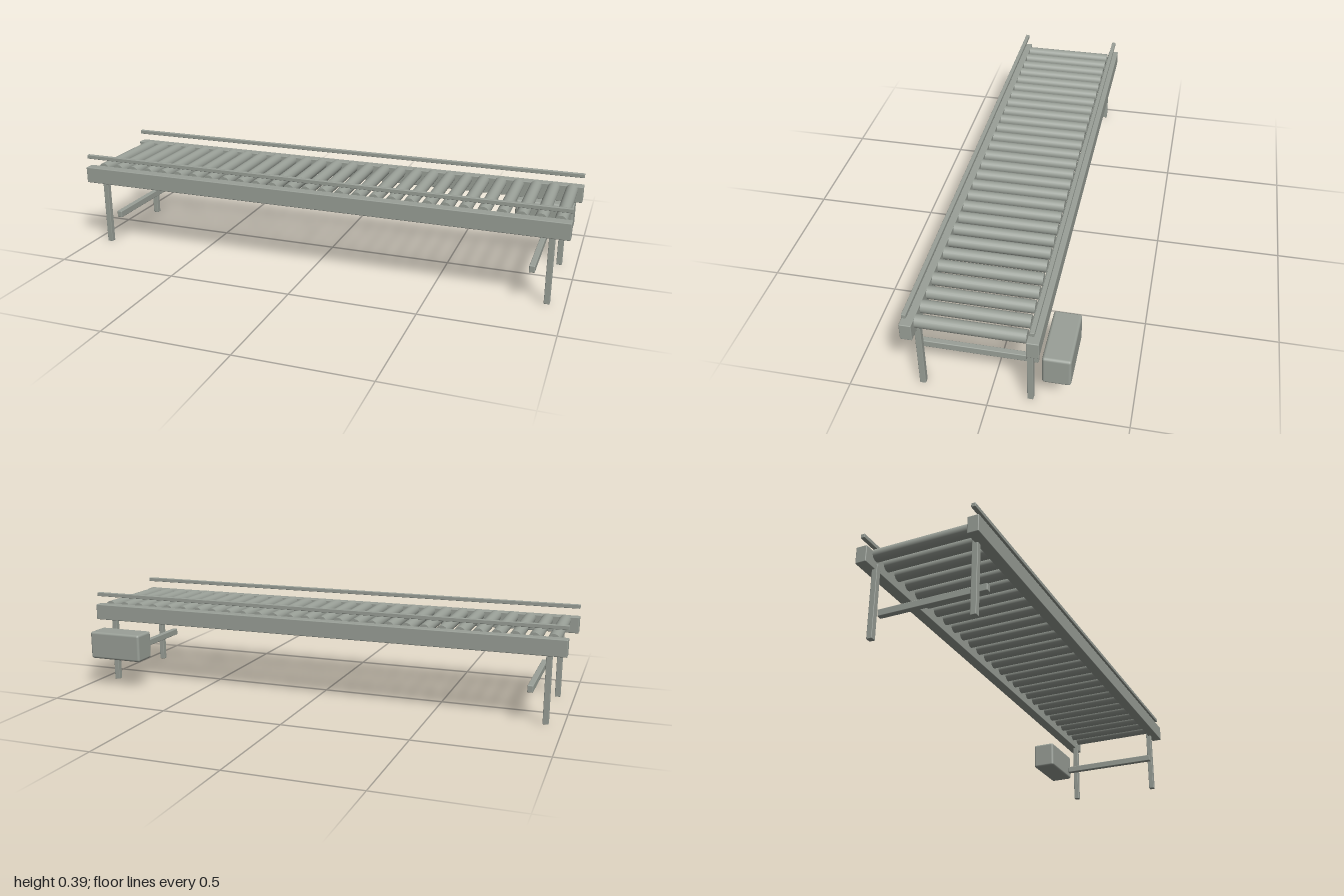
import * as THREE from 'three';
import { RoundedBoxGeometry } from 'three/addons/geometries/RoundedBoxGeometry.js';

export function createModel() {
  const model = new THREE.Group();
  model.name = 'rollerConveyor';
  const steel = new THREE.MeshStandardMaterial({ color: 0x9aa098 });
  steel.name = 'grey steel';

  const midZ = 0.052; // centre line of the conveyor bed

  // softly bevelled box given by its size and centre
  function box(name, size, centre, bevel = 0.003) {
    const mesh = new THREE.Mesh(new RoundedBoxGeometry(...size, 2, bevel), steel);
    mesh.name = name;
    mesh.position.set(...centre);
    model.add(mesh);
  }

  // side rails, guide rails and legs, mirrored about the bed's centre line
  for (const [side, s] of [['front', 1], ['back', -1]]) {
    box(side + 'SideRail', [2, 0.066, 0.043], [0, 0.304, midZ + s * 0.2155]);
    box(side + 'GuideRail', [2, 0.016, 0.016], [0, 0.379, midZ + s * 0.215], 0.002);
    for (const [end, e] of [['Left', 1], ['Right', -1]]) {
      box(side + end + 'Leg', [0.022, 0.29, 0.022], [e * 0.933, 0.145, midZ + s * 0.195], 0.002);
    }
  }

  // cross braces between the legs
  for (const [end, e] of [['left', 1], ['right', -1]]) {
    box(end + 'CrossBrace', [0.022, 0.028, 0.425], [e * 0.871, 0.134, midZ]);
  }

  // rollers
  const rollers = new THREE.Group();
  rollers.name = 'rollers';
  const rollerGeometry = new THREE.CylinderGeometry(0.0235, 0.0235, 0.382, 24).rotateX(Math.PI / 2);
  const count = 28;
  for (let i = 0; i < count; i++) {
    const roller = new THREE.Mesh(rollerGeometry, steel);
    roller.name = 'roller' + (i + 1);
    roller.position.set(-0.944 + (i * 1.9) / (count - 1), 0.323, midZ);
    rollers.add(roller);
  }
  model.add(rollers);

  // drive motor housing behind the left end
  box('motorHousing', [0.235, 0.116, 0.101], [0.85, 0.181, -0.238], 0.01);

  return model;
}
